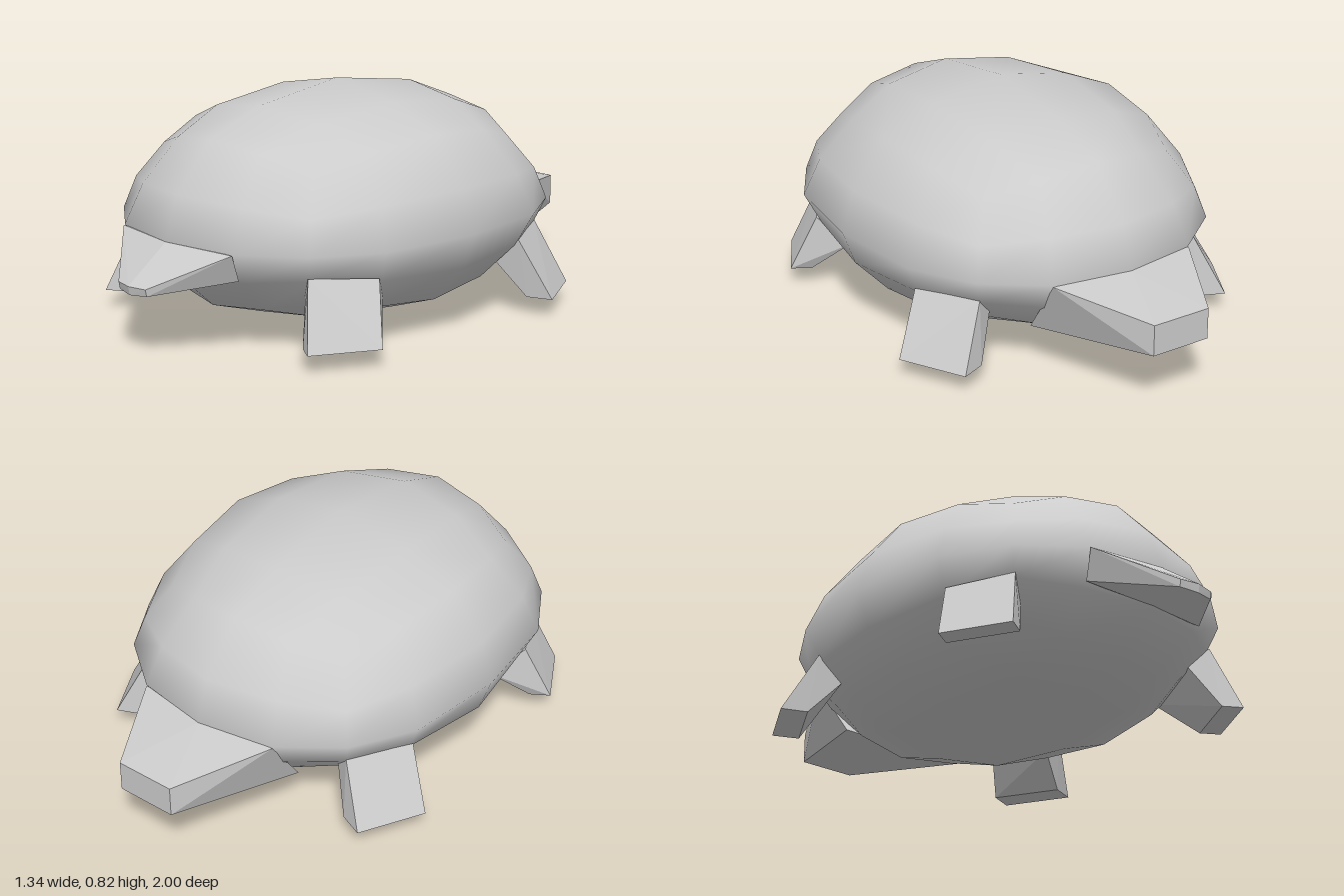
import * as THREE from 'three';
import { mergeVertices } from 'three/addons/utils/BufferGeometryUtils.js';
import { ConvexGeometry } from 'three/addons/geometries/ConvexGeometry.js';

const smooth = new THREE.MeshStandardMaterial({ color: 0xcccccc });
const faceted = new THREE.MeshStandardMaterial({ color: 0xcccccc, flatShading: true });

// Bends a unit coordinate through the ring positions of one axis, keeping its sign
const STEPS = [0, 0.447, 0.707, 0.894, 1];
function remap(v, rings) {
  const a = Math.min(Math.abs(v), 1);
  let i = 0;
  while (i < 3 && a > STEPS[i + 1]) i++;
  const t = (a - STEPS[i]) / (STEPS[i + 1] - STEPS[i]);
  return Math.sign(v) * THREE.MathUtils.lerp(rings[i], rings[i + 1], t);
}

// Subdivided cube rounded into a flattened egg, fuller above its rim than below
function shellGeometry() {
  const box = new THREE.BoxGeometry(2, 2, 2, 4, 4, 4);
  box.deleteAttribute('uv');
  box.deleteAttribute('normal');
  const geo = mergeVertices(box);
  const pos = geo.attributes.position;
  const p = new THREE.Vector3();
  for (let i = 0; i < pos.count; i++) {
    p.fromBufferAttribute(pos, i).normalize();
    const x = remap(p.x, [0, 0.43, 0.735, 0.93, 1]) * 0.65;
    const y = remap(p.y, [0, 0.335, 0.7, 0.885, 1]) * (p.y > 0 ? 0.45 : 0.37);
    const z = remap(p.z, [0, 0.467, 0.745, 0.936, 1]) * 0.785;
    pos.setXYZ(i, x, y + 0.37, z + 0.055);
  }
  geo.computeVertexNormals();
  return geo;
}

// Flat-sided solid around its corner points
function solid(name, corners) {
  const geo = new ConvexGeometry(corners.map((c) => new THREE.Vector3(...c)));
  const mesh = new THREE.Mesh(geo, faceted);
  mesh.name = name;
  return mesh;
}

const mirror = (corners) => corners.map(([x, y, z]) => [-x, y, z]);
const bothSides = (half) => [...half, ...mirror(half)];

export function createModel() {
  const model = new THREE.Group();
  model.name = 'turtle';

  const shell = new THREE.Mesh(shellGeometry(), smooth);
  shell.name = 'shell';
  model.add(shell);

  // Blunt wedge head
  model.add(solid('head', [
    [0, 0.37, -0.73],
    ...bothSides([
      [0.28, 0.365, -0.68], [0.26, 0.15, -0.52],
      [0.11, 0.315, -1], [0.11, 0.205, -1],
    ]),
  ]));

  // Short tail tapering to a thin rounded tip
  model.add(solid('tail', [
    [0, 0.37, 0.84], [0, 0.25, 0.79], [0, 0.25, 1], [0, 0.22, 0.995],
    ...bothSides([
      [0.28, 0.368, 0.795], [0.26, 0.27, 0.75],
      [0.07, 0.25, 0.985], [0.07, 0.225, 0.98],
    ]),
  ]));

  // Splayed block legs: four foot corners, then four corners at the shell
  const legs = {
    Front: [
      [0.645, 0.065, 0.475], [0.525, 0.065, 0.695], [0.46, 0.065, 0.655], [0.58, 0.065, 0.435],
      [0.565, 0.275, 0.41], [0.448, 0.29, 0.62], [0.383, 0.223, 0.57], [0.48, 0.187, 0.31],
    ],
    Rear: [
      [0.67, 0.065, -0.345], [0.55, 0.065, -0.568], [0.462, 0.065, -0.53], [0.582, 0.065, -0.31],
      [0.565, 0.275, -0.28], [0.448, 0.29, -0.5], [0.383, 0.223, -0.46], [0.48, 0.183, -0.26],
    ],
  };
  for (const [end, corners] of Object.entries(legs)) {
    model.add(solid(`left${end}Leg`, corners));
    model.add(solid(`right${end}Leg`, mirror(corners)));
  }
  return model;
}
